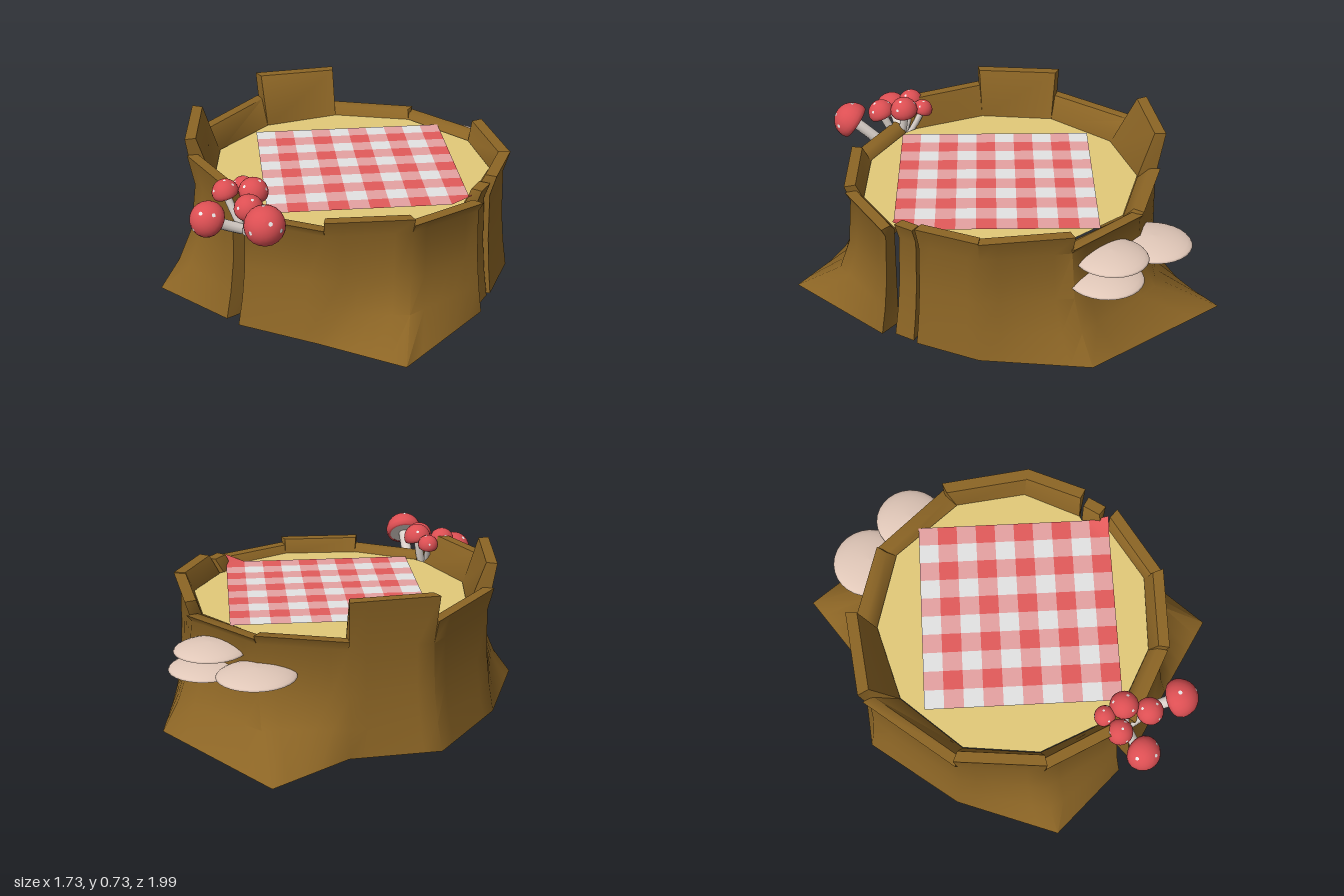
import * as THREE from 'three';
import { mergeGeometries, toCreasedNormals } from 'three/addons/utils/BufferGeometryUtils.js';

const mat = (name, color, side = THREE.FrontSide) => {
  const m = new THREE.MeshStandardMaterial({ color, side });
  m.name = name;
  return m;
};
const V = (x, y, z) => new THREE.Vector3(x, y, z);
const WOOD_Y = 0.51;

// Stump columns, back -> left -> front -> right: base x,z, rim x,z, inner x,z
const columns = [
  [0.04, -0.75, 0.04, -0.75, 0.045, -0.63],
  [-0.38, -0.71, -0.355, -0.70, -0.31, -0.53],
  [-0.69, -0.30, -0.68, -0.29, -0.56, -0.25],
  [-0.87, 0.18, -0.72, 0.12, -0.60, 0.10],
  [-0.57, 0.50, -0.55, 0.49, -0.46, 0.43],
  [-0.52, 0.56, -0.50, 0.55, -0.42, 0.48],
  [-0.18, 0.76, -0.15, 0.735, -0.13, 0.635],
  [0.18, 0.99, 0.25, 0.74, 0.23, 0.645],
  [0.59, 0.56, 0.59, 0.55, 0.50, 0.49],
  [0.59, 0.50, 0.59, 0.49, 0.51, 0.46],
  [0.645, 0.415, 0.645, 0.41, 0.55, 0.37],
  [0.665, 0.40, 0.675, 0.395, 0.57, 0.36],
  [0.80, 0.12, 0.80, 0.12, 0.70, 0.10],
  [0.86, -0.38, 0.745, -0.30, 0.66, -0.23],
  [0.39, -1.0, 0.45, -0.63, 0.41, -0.53],
];
// Bark panels: start column, end column, rim height
const panels = [
  [0, 1, 0.73], [1, 2, 0.61], [2, 3, 0.73], [3, 4, 0.65], [5, 6, 0.535], [6, 7, 0.575],
  [7, 8, 0.545], [9, 10, 0.575], [11, 12, 0.6], [12, 13, 0.595], [13, 14, 0.53], [14, 0, 0.545],
];

// Outer and inner points of one column, from the ground to the rim
function columnProfile([bx, bz, tx, tz, ix, iz], h) {
  const root = Math.hypot(bx - tx, bz - tz) > 0.2;
  const rows = [[0, 0], [0.13, root ? 0.76 : 0.5], [0.28, root ? 0.94 : 0.86], [0.5, 1]];
  const outer = rows.map(([y, f]) =>
    V(THREE.MathUtils.lerp(bx, tx * 0.955, f), y, THREE.MathUtils.lerp(bz, tz * 0.955, f)));
  const inner = rows.map(([y]) => V(ix, y, iz));
  const s = 0.98 + (h - 0.5) * 0.12;
  outer.push(V(tx * s, h, tz * s));
  inner.push(V(tx * s * 0.93, h, tz * s * 0.93));
  return { outer, inner };
}

function fromTriangles(tris) {
  const g = new THREE.BufferGeometry().setFromPoints(tris);
  g.computeVertexNormals();
  return g;
}

function barkGeometry() {
  const tris = [], steps = 5;
  const quad = (a, b, c, d) => tris.push(a, b, c, a, c, d);
  for (const [i, j, h] of panels) {
    const a = columnProfile(columns[i], h), b = columnProfile(columns[j], h);
    for (let r = 0; r < 4; r++) {
      // Outer face in narrow strips, so that the roots twist smoothly
      const at = (row, k) => a.outer[row].clone().lerp(b.outer[row], k / steps);
      for (let k = 0; k < steps; k++) quad(at(r, k), at(r, k + 1), at(r + 1, k + 1), at(r + 1, k));
      quad(b.inner[r], a.inner[r], a.inner[r + 1], b.inner[r + 1]);
      quad(b.outer[r], b.inner[r], b.inner[r + 1], b.outer[r + 1]);
      quad(a.inner[r], a.outer[r], a.outer[r + 1], a.inner[r + 1]);
    }
    quad(a.outer[4], b.outer[4], b.inner[4], a.inner[4]);
  }
  // Walls of the deep split and the underside around it
  const inAt = (k, y) => V(columns[k][4], y, columns[k][5]);
  const low = V(0, 0, 0.02), high = V(0, WOOD_Y, 0.02);
  quad(inAt(4, 0), low, high, inAt(4, WOOD_Y));
  quad(low, inAt(5, 0), inAt(5, WOOD_Y), high);
  const n = columns.length;
  for (let k = 0; k < n; k++) {
    if (k === 4) continue;
    const c = columns[k], d = columns[(k + 1) % n];
    tris.push(low, V(d[0], 0, d[1]), V(c[0], 0, c[1]));
  }
  return toCreasedNormals(fromTriangles(tris), 0.9);
}

function woodGeometry() {
  const tris = [];
  columns.forEach((c, k) => {
    const d = columns[(k + 1) % columns.length];
    tris.push(V(0, WOOD_Y, 0.02), V(c[4], WOOD_Y, c[5]), V(d[4], WOOD_Y, d[5]));
  });
  return fromTriangles(tris);
}

// Squares of the cloth, gathered by colour, with one corner resting on the rim
function addCloth(group, mats) {
  const cells = [[], [], []], n = 10, s = 0.0915;
  for (let i = 0; i < n; i++) for (let j = 0; j < n; j++) {
    const g = new THREE.PlaneGeometry(s, s).rotateX(-Math.PI / 2);
    g.translate(-0.375 + (i + 0.5) * s, 0, -0.42 + (j + 0.5) * s);
    const p = g.attributes.position;
    for (let k = 0; k < p.count; k++) {
      const d = Math.hypot(p.getX(k) - 0.54, p.getZ(k) - 0.495);
      p.setY(k, 0.522 + 0.04 * Math.max(0, 1 - d / 0.09));
    }
    g.computeVertexNormals();
    cells[(i % 2) + (j % 2)].push(g);
  }
  ['clothWhiteSquares', 'clothPinkSquares', 'clothRedSquares'].forEach((name, k) =>
    addMesh(group, name, mergeGeometries(cells[k]), mats[k]));
}

function addMesh(group, name, geo, material) {
  const m = new THREE.Mesh(geo, material);
  m.name = name;
  group.add(m);
  return m;
}

function mushroom(pos, r, axis, foot, mats) {
  const g = new THREE.Group();
  g.name = 'mushroom';
  const dir = V(...axis).normalize();
  const centre = V(...pos).addScaledVector(dir, -0.3 * r);
  const head = new THREE.Group();
  head.name = 'mushroomHead';
  head.position.copy(centre);
  head.quaternion.setFromUnitVectors(V(0, 1, 0), dir);
  // Domed cap with a rolled lip
  const pts = [new THREE.Vector2(0.8 * r, -0.24 * r), new THREE.Vector2(0.94 * r, -0.22 * r)];
  for (let k = 0; k <= 8; k++) {
    const t = (k / 8) * Math.PI / 2;
    pts.push(new THREE.Vector2(Math.cos(t) * r, Math.sin(t) * r));
  }
  addMesh(head, 'cap', new THREE.LatheGeometry(pts, 20), mats.cap);
  const gills = new THREE.CircleGeometry(0.81 * r, 20).rotateX(Math.PI / 2).translate(0, -0.22 * r, 0);
  addMesh(head, 'gills', gills, mats.stem);
  // Pale spots
  for (let k = 0; k < 4; k++) {
    const e = k === 0 ? 1.3 : 0.6, a = k * 2.09 + 0.5;
    const n = V(Math.cos(e) * Math.cos(a), Math.sin(e), Math.cos(e) * Math.sin(a));
    const spot = addMesh(head, 'spot', new THREE.CircleGeometry(0.11 * r, 7), mats.spot);
    spot.position.copy(n).multiplyScalar(r * 1.015);
    spot.quaternion.setFromUnitVectors(V(0, 0, 1), n);
  }
  // Curved stem
  const bend = centre.clone().addScaledVector(dir, -0.7 * r);
  const curve = new THREE.QuadraticBezierCurve3(V(...foot), bend, centre);
  addMesh(g, 'stem', new THREE.TubeGeometry(curve, 8, r * 0.3, 10), mats.stem);
  g.add(head);
  return g;
}

function shelfFungus(x, y, z, r) {
  // Thin lens with a raised top, drooping towards its rim
  const g = new THREE.SphereGeometry(1, 28, 12);
  const p = g.attributes.position;
  for (let k = 0; k < p.count; k++) {
    const px = p.getX(k), py = p.getY(k), pz = p.getZ(k);
    p.setXYZ(k, px * r, py * (py > 0 ? 0.024 : 0.012) - 0.016 * (px * px + pz * pz), pz * r);
  }
  g.computeVertexNormals();
  return g.translate(x, y, z);
}

export function createModel() {
  const model = new THREE.Group();
  model.name = 'picnicStump';
  const bark = mat('bark brown', 0x8c6525);
  const wood = mat('cut wood', 0xe2ca79);
  const cloth = [mat('cloth white', 0xe4e4e4, THREE.DoubleSide), mat('cloth pink', 0xe6a2a2, THREE.DoubleSide),
    mat('cloth red', 0xe25a5a, THREE.DoubleSide)];
  const mats = {
    cap: mat('mushroom red', 0xdc4f53, THREE.DoubleSide),
    stem: mat('stem cream', 0xdcd3cc),
    spot: mat('spot white', 0xeeeaea),
  };
  const fungus = mat('shelf fungus beige', 0xe0c7b8);

  addMesh(model, 'bark', barkGeometry(), bark);
  addMesh(model, 'woodTop', woodGeometry(), wood);
  addCloth(model, cloth);

  // Mushroom cluster by the split: centre, radius, tilt, foot
  [
    [[-0.40, 0.605, 0.765], 0.09, [0, 0.6, 0.8], [-0.41, 0.43, 0.57]],
    [[-0.65, 0.555, 0.575], 0.082, [-0.6, 0.6, 0.5], [-0.49, 0.46, 0.51]],
    [[-0.43, 0.645, 0.49], 0.067, [0.2, 1, 0.1], [-0.46, 0.46, 0.51]],
    [[-0.56, 0.635, 0.46], 0.06, [-0.3, 1, 0], [-0.49, 0.46, 0.5]],
    [[-0.46, 0.62, 0.61], 0.065, [0, 1, 0.4], [-0.47, 0.45, 0.53]],
    [[-0.475, 0.625, 0.395], 0.05, [0, 1, -0.3], [-0.48, 0.47, 0.47]],
  ].forEach((a) => model.add(mushroom(...a, mats)));

  // Shelf fungi on the back left
  [[0.63, 0.443, -0.465, 0.165], [0.65, 0.347, -0.44, 0.172], [0.435, 0.395, -0.67, 0.178]]
    .forEach((a) => addMesh(model, 'shelfFungus', shelfFungus(...a), fungus));
  return model;
}
